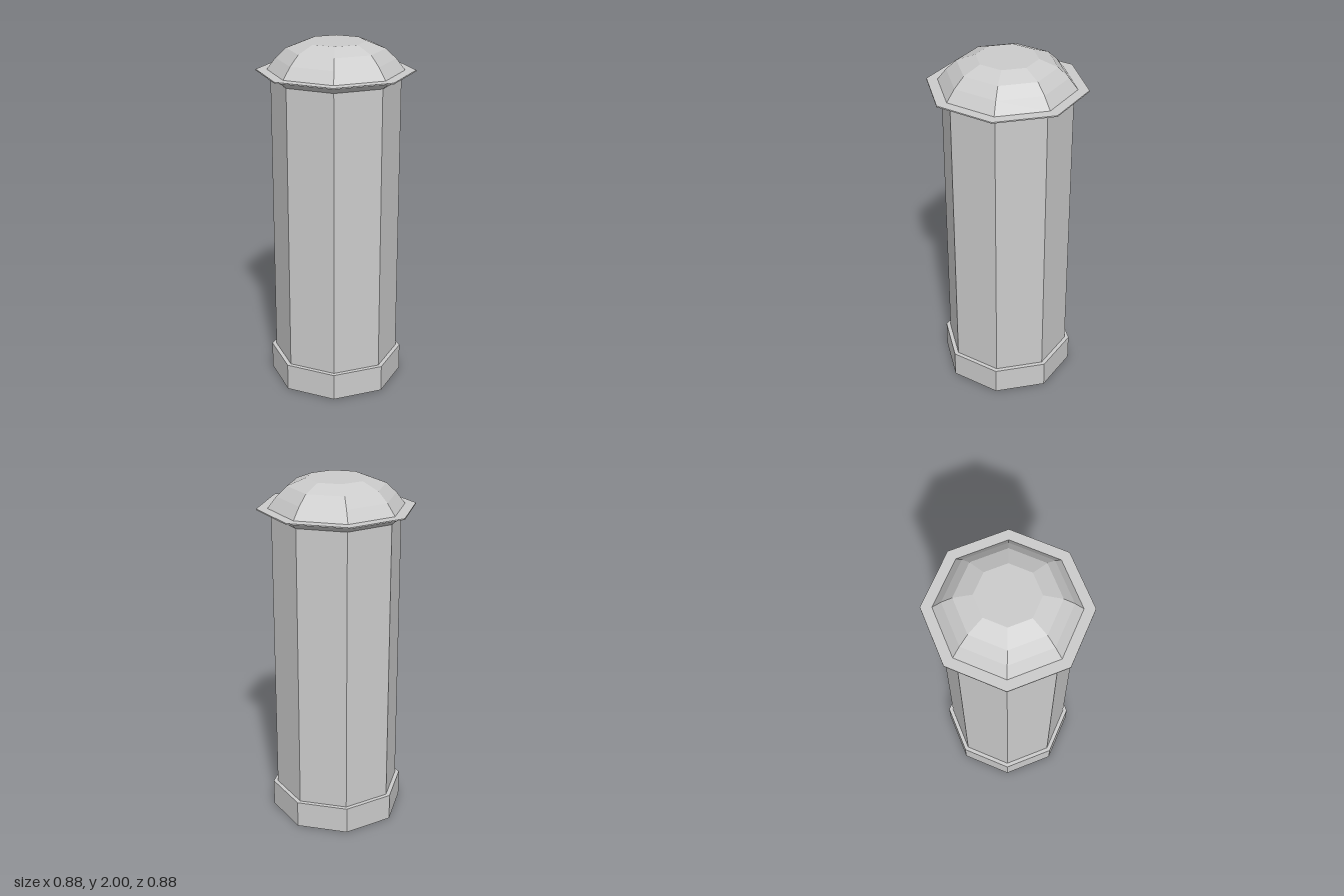
import * as THREE from 'three';

const SIDES = 8;

export function createModel() {
  const group = new THREE.Group();
  const material = new THREE.MeshStandardMaterial({ color: 0xcccccc, flatShading: true });

  const add = (name, geometry, y = 0) => {
    const mesh = new THREE.Mesh(geometry, material);
    mesh.name = name;
    mesh.position.y = y;
    group.add(mesh);
  };

  // Octagonal prism or frustum standing between two heights
  const prism = (name, rTop, rBottom, y0, y1) =>
    add(name, new THREE.CylinderGeometry(rTop, rBottom, y1 - y0, SIDES), (y0 + y1) / 2);

  prism('base', 0.385, 0.385, 0, 0.155);
  prism('column', 0.36, 0.36, 0.155, 1.795);
  prism('collar', 0.41, 0.36, 1.795, 1.835);
  prism('brim', 0.44, 0.44, 1.834, 1.841);

  // Faceted dome with a flat top
  const profile = [[0.38, 1.84], [0.33, 1.905], [0.272, 1.96], [0.17, 2], [0, 2]];
  add('dome', new THREE.LatheGeometry(profile.map(([r, y]) => new THREE.Vector2(r, y)), SIDES));

  return group;
}
